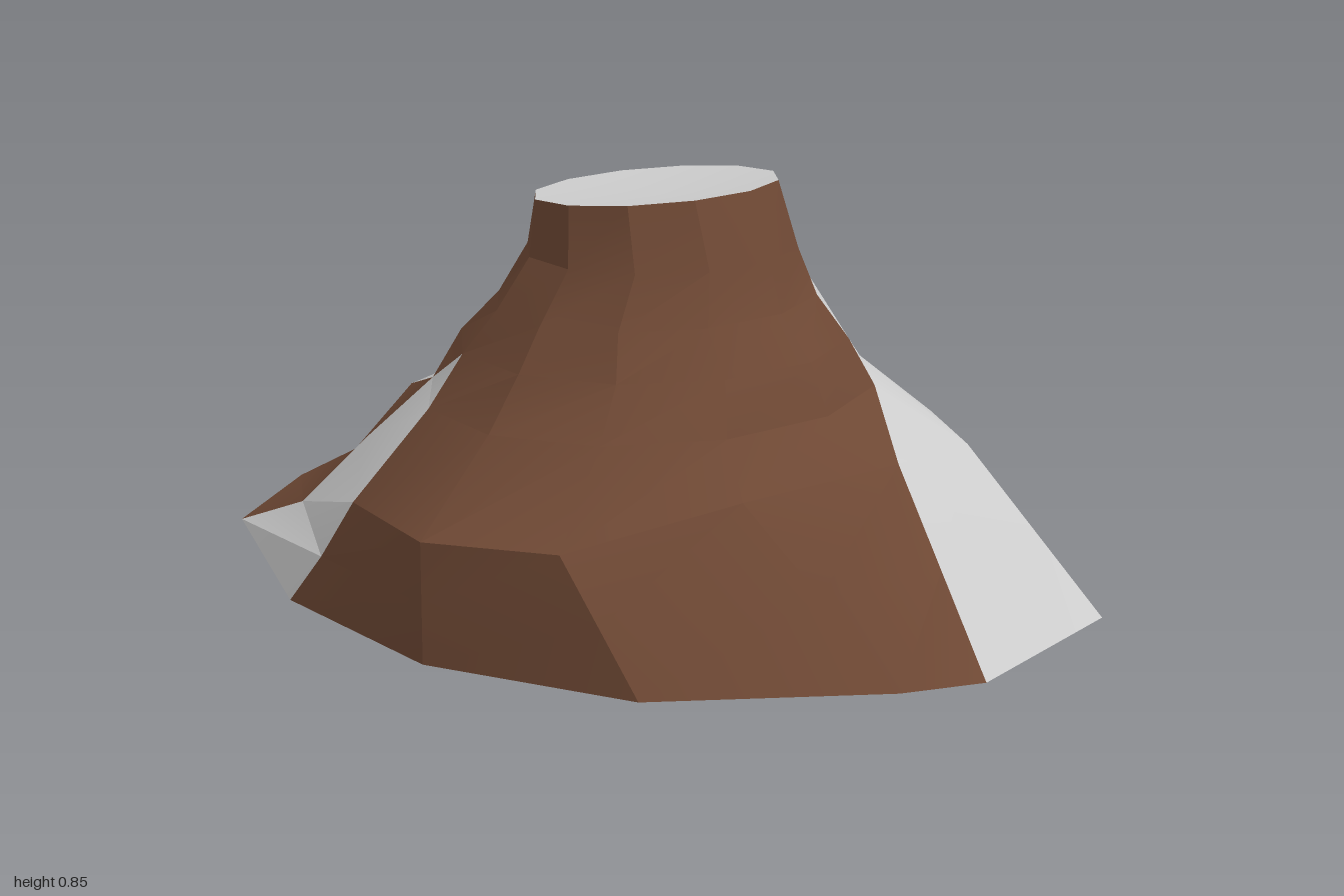
import * as THREE from 'three';
import { toCreasedNormals } from 'three/addons/utils/BufferGeometryUtils.js';

const N = 12; // spokes, from the right side (-x) through the front round to the back

// outline on the ground: [x, z]
const foot = [
  [-1, 0], [-0.86, 0.33], [-0.38, 0.65], [0.09, 0.755], [0.54, 0.65], [0.9, 0.31],
  [1, 0.16], [1, -0.3], [0.54, -0.65], [0.09, -0.755], [-0.36, -0.73], [-0.78, -0.44],
];
// shoulder where the skirt meets the cone: [x, y, z]
const shoulder = [
  [-0.63, 0.29, 0], [-0.4, 0.29, 0.39], [-0.19, 0.25, 0.65], [0.09, 0.25, 0.755],
  [0.35, 0.25, 0.65], [0.56, 0.32, 0.35], [0.69, 0.34, 0], [0.67, 0.31, -0.3],
  [0.36, 0.25, -0.66], [0.09, 0.25, -0.755], [-0.28, 0.25, -0.67], [-0.52, 0.29, -0.46],
];
// how far the skirt dips halfway up each spoke
const sag = [0.045, 0.05, 0.01, 0, 0, 0, 0, 0, 0, 0, 0.01, 0.04];
// oval rings of the cone: [y, x min, x max, z radius]
const cone = [
  [0.41, -0.38, 0.52, 0.53], [0.515, -0.33, 0.475, 0.44], [0.605, -0.235, 0.4, 0.385],
  [0.71, -0.18, 0.37, 0.31], [0.835, -0.16, 0.32, 0.29],
];
// colour of every face, one word per segment, bottom to top:
// b brown, g grey, h lower triangle grey, i upper triangle grey
const patches = [
  'bbigggg', 'ggghbbb', 'bbbbbbb', 'bbbbbbb', 'bbbbbbb', 'bbbbbbb',
  'gghbbbb', 'bbggggg', 'gggbbbb', 'bbbbbbb', 'ghbbbgg', 'gggiggg',
];

function makeRings() {
  const base = foot.map(([x, z]) => [x, 0, z]);
  const middle = base.map((p, k) => p.map((v, i) =>
    (v + shoulder[k][i]) / 2 - (i === 1 ? sag[k] : 0)));
  const ovals = cone.map(([y, x0, x1, rz], level) => base.map((_, k) => {
    const a = Math.PI * (1 + k / 6);
    const tilt = level === cone.length - 1 ? 0.015 * Math.cos(a) : 0;
    return [(x0 + x1) / 2 + Math.cos(a) * (x1 - x0) / 2, y + tilt, -Math.sin(a) * rz];
  }));
  return [base, middle, shoulder, ...ovals];
}

// copy a run of triangles into its own mesh
function part(name, source, first, count, color) {
  const geometry = new THREE.BufferGeometry();
  for (const key of ['position', 'normal']) {
    const data = source.getAttribute(key).array.slice(first * 9, (first + count) * 9);
    geometry.setAttribute(key, new THREE.BufferAttribute(data, 3));
  }
  const mesh = new THREE.Mesh(geometry, new THREE.MeshStandardMaterial({ color }));
  mesh.name = name;
  return mesh;
}

export function createModel() {
  const rings = makeRings();
  const rock = [], grey = [], crater = [], underside = [];

  // slopes
  for (let k = 0; k < N; k++) {
    const n = (k + 1) % N;
    for (let level = 0; level < rings.length - 1; level++) {
      const a = rings[level][k], b = rings[level][n];
      const c = rings[level + 1][n], d = rings[level + 1][k];
      const mark = patches[k][level];
      ('gh'.includes(mark) ? grey : rock).push([a, b, c]);
      ('gi'.includes(mark) ? grey : rock).push([a, c, d]);
    }
    // shallow crater floor and flat underside
    const rim = rings[rings.length - 1];
    crater.push([[0.08, 0.815, 0], rim[k], rim[n]]);
    underside.push([[0, 0, 0], rings[0][n], rings[0][k]]);
  }

  const all = [rock, grey, crater, underside];
  let geometry = new THREE.BufferGeometry();
  geometry.setAttribute('position', new THREE.Float32BufferAttribute(all.flat(3), 3));
  geometry = toCreasedNormals(geometry, 0.45);

  const group = new THREE.Group();
  group.name = 'mountain';
  const names = ['rockSlopes', 'greyPatches', 'craterFloor', 'underside'];
  const colors = [0x6e4834, 0xcccccc, 0xcccccc, 0x6e4834];
  let first = 0;
  all.forEach((list, i) => {
    group.add(part(names[i], geometry, first, list.length, colors[i]));
    first += list.length;
  });
  return group;
}
